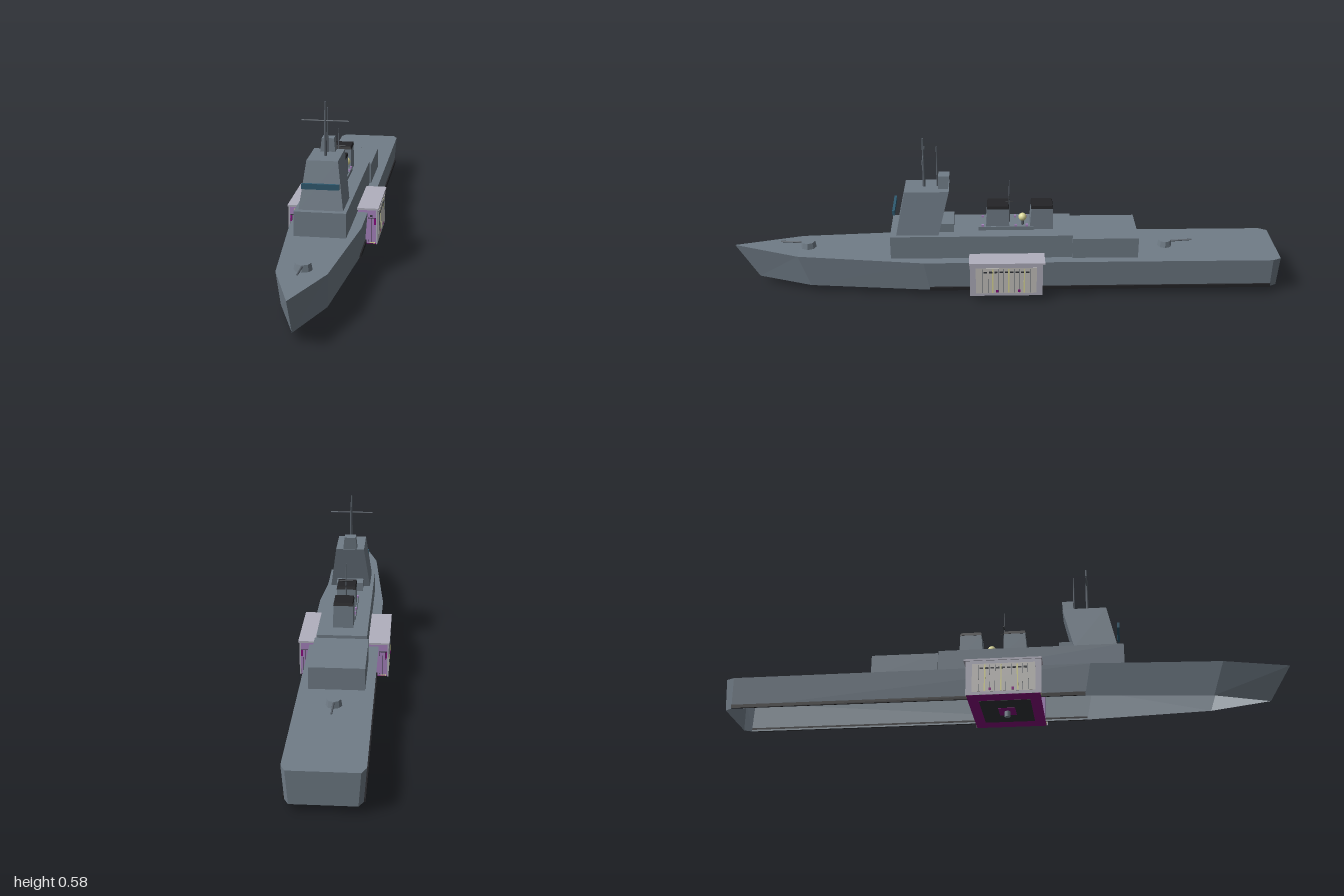
import * as THREE from 'three';

const mat = (name, color, side = THREE.FrontSide) =>
  new THREE.MeshStandardMaterial({ name, color, side });

export function createModel() {
  const ship = new THREE.Group();
  ship.name = 'warship';
  const grey = mat('hull grey', 0x717d88, THREE.DoubleSide);
  const steel = mat('steel grey', 0x5a626b);
  const dark = mat('dark grey', 0x33363b);
  const black = mat('black', 0x242427);
  const glass = mat('window blue', 0x2f5a70);
  const pale = mat('pale grey', 0xb1b0be);
  const panel = mat('panel white', 0xc6c4c0);
  const purple = mat('purple', 0xa884c0);
  const magenta = mat('magenta', 0x8a0880);
  const yellow = mat('yellow', 0xdedb9a);

  const add = (name, geo, material, parent = ship) => {
    const m = new THREE.Mesh(geo, material);
    m.name = name;
    parent.add(m);
    return m;
  };
  // box given by its limits on each axis
  const box = (name, material, [x0, x1], [y0, y1], [z0, z1], parent) => {
    const g = new THREE.BoxGeometry(x1 - x0, y1 - y0, z1 - z0);
    g.translate((x0 + x1) / 2, (y0 + y1) / 2, (z0 + z1) / 2);
    return add(name, g, material, parent);
  };
  // tapered block: lower and upper rectangles as [halfWidth, zBack, zFront]
  const block = (name, material, y0, y1, low, high) => {
    const g = new THREE.BoxGeometry(2, 1, 1);
    const p = g.attributes.position;
    for (let i = 0; i < p.count; i++) {
      const up = p.getY(i) > 0;
      const [w, zb, zf] = up ? high : low;
      p.setXYZ(i, p.getX(i) * w, up ? y1 : y0, p.getZ(i) > 0 ? zf : zb);
    }
    g.computeVertexNormals();
    return add(name, g, material);
  };
  const rod = (name, material, from, to, r0, r1 = r0, sides = 8, parent = ship) => {
    const a = new THREE.Vector3(...from), b = new THREE.Vector3(...to);
    const m = add(name, new THREE.CylinderGeometry(r1, r0, a.distanceTo(b), sides), material, parent);
    m.position.copy(a).add(b).multiplyScalar(0.5);
    m.quaternion.setFromUnitVectors(new THREE.Vector3(0, 1, 0), b.sub(a).normalize());
    return m;
  };

  // Hull: open-bottomed shell through stations [zTop, halfTop, yTop, zBottom, halfBottom]
  const stations = [
    [1, 0, 0.156, 0.92, 0],
    [0.76, 0.08, 0.148, 0.72, 0.073],
    [0.3, 0.125, 0.14, 0.28, 0.116],
    [-0.97, 0.125, 0.138, -0.97, 0.116],
    [-1, 0.11, 0.138, -0.995, 0.102],
  ];
  const pos = [];
  const quad = (a, b, c, d) => pos.push(...a, ...b, ...c, ...a, ...c, ...d);
  const top = (s, k) => [k * s[1], s[2], s[0]];
  const low = (s, k) => [k * s[4], 0.024, s[3]];
  for (let i = 0; i < stations.length - 1; i++) {
    const a = stations[i], b = stations[i + 1];
    quad(low(a, 1), low(b, 1), top(b, 1), top(a, 1));
    quad(low(b, -1), low(a, -1), top(a, -1), top(b, -1));
    quad(top(a, -1), top(a, 1), top(b, 1), top(b, -1));
  }
  const end = stations[stations.length - 1];
  quad(low(end, 1), low(end, -1), top(end, -1), top(end, 1));
  const hull = new THREE.BufferGeometry();
  hull.setAttribute('position', new THREE.Float32BufferAttribute(pos, 3));
  hull.computeVertexNormals();
  add('hull', hull, grey);
  for (const s of [-1, 1]) {
    const x = [s * 0.1165, s * 0.122].sort((a, b) => a - b);
    box('waterlineStrip', black, x, [0.024, 0.037], [-0.97, 0.28]);
  }
  box('holdCeiling', black, [-0.088, 0.088], [0.128, 0.134], [-0.48, -0.13]);

  // Superstructure
  box('mainDeckhouse', grey, [-0.088, 0.088], [0.138, 0.228], [-0.24, 0.42]);
  box('aftDeckhouse', grey, [-0.094, 0.094], [0.136, 0.217], [-0.48, -0.24]);
  block('bridgeTower', grey, 0.228, 0.39, [0.075, 0.245, 0.398], [0.053, 0.205, 0.364]);
  box('bridgeWindow', glass, [-0.063, 0.063], [0.303, 0.322], [0.4, 0.409]);
  block('towerCap', grey, 0.39, 0.437, [0.026, 0.208, 0.245], [0.021, 0.203, 0.243]);
  box('towerRearBox', grey, [-0.05, 0.05], [0.228, 0.26], [0.19, 0.25]);

  // Masts
  rod('mainMast', steel, [0, 0.385, 0.295], [0, 0.576, 0.295], 0.0055, 0.003);
  rod('mainYard', steel, [-0.08, 0.51, 0.295], [0.08, 0.51, 0.295], 0.0025);
  rod('rearMast', steel, [0, 0.385, 0.247], [0, 0.545, 0.247], 0.0035, 0.002);
  rod('aftMast', steel, [0, 0.235, -0.012], [0, 0.41, -0.012], 0.0025, 0.0015);
  rod('aftYard', dark, [-0.025, 0.345, -0.012], [0.025, 0.345, -0.012], 0.0025);
  rod('aftYardFore', dark, [0, 0.325, -0.025], [0, 0.325, 0.002], 0.002);

  // Funnels with dark caps
  box('funnelDeck', grey, [-0.04, 0.04], [0.228, 0.242], [-0.1, 0.1]);
  for (const z of [0.03, -0.13]) {
    block('funnel', grey, 0.228, 0.31, [0.036, z - 0.042, z + 0.044], [0.034, z - 0.04, z + 0.038]);
    block('funnelCap', black, 0.31, 0.321, [0.035, z - 0.041, z + 0.039], [0.033, z - 0.038, z + 0.036]);
  }
  rod('lampPost', steel, [0.022, 0.24, -0.06], [0.022, 0.265, -0.06], 0.005);
  add('signalLamp', new THREE.SphereGeometry(0.015, 12, 8), yellow).position.set(0.022, 0.273, -0.06);
  for (const s of [-1, 1])
    for (const z of [-0.075, -0.035, 0.085])
      box('deckFitting', purple, [s * 0.037 - 0.003, s * 0.037 + 0.003], [0.242, 0.25], [z - 0.004, z + 0.004]);

  // Fore and aft guns
  for (const [z, y, r, dir] of [[0.73, 0.146, 0.03, 1], [-0.59, 0.137, 0.027, -1]]) {
    const gun = new THREE.Group();
    gun.name = dir > 0 ? 'foreGun' : 'aftGun';
    gun.position.set(0, y, z);
    ship.add(gun);
    const g = new THREE.CylinderGeometry(r * 0.85, r, 0.024, 8).toNonIndexed();
    g.computeVertexNormals();
    add('turret', g, grey, gun).position.y = 0.012;
    rod('barrel', steel, [0, 0.017, 0], [0, 0.023, dir * 0.1], 0.004, 0.003, 8, gun);
  }

  // Side housings, built once per side
  for (const s of [-1, 1]) {
    const house = new THREE.Group();
    house.name = s > 0 ? 'leftHousing' : 'rightHousing';
    ship.add(house);
    const part = (name, m, x0, x1, y, z) =>
      box(name, m, s > 0 ? [x0, x1] : [-x1, -x0], y, z, house);
    part('core', purple, 0.09, 0.156, [0.025, 0.15], [-0.128, 0.128]);
    part('outerWall', pale, 0.156, 0.161, [0.023, 0.15], [-0.13, 0.133]);
    part('roof', pale, 0.08, 0.164, [0.15, 0.157], [-0.138, 0.135]);
    part('wallPanel', panel, 0.161, 0.162, [0.034, 0.138], [-0.108, 0.112]);
    // thin wall seams, yellow strips and a row of vents
    for (let i = 0; i < 10; i++) {
      const z = -0.085 + i * 0.019;
      part('wallSeam', i % 3 === 1 ? yellow : steel, 0.162, 0.1625,
        [0.036, 0.134], i % 3 === 1 ? [z, z + 0.005] : [z, z + 0.0015]);
      if (i < 9) part('wallVent', dark, 0.162, 0.163, [0.118, 0.124], [z + 0.004, z + 0.016]);
    }
    for (const z of [-0.05, 0.03]) part('wallMark', magenta, 0.162, 0.163, [0.038, 0.048], [z, z + 0.009]);
    // both ends
    for (const e of [-1, 1]) {
      const zs = d => (e > 0 ? [0.128, 0.128 + d] : [-0.128 - d, -0.128]);
      for (const x of [0.128, 0.138, 0.148])
        part('endSeam', dark, x, x + 0.001, [0.03, 0.118], zs(0.001));
      part('endRail', dark, 0.126, 0.155, [0.118, 0.12], zs(0.002));
      part('endMark', magenta, 0.149, 0.155, [0.095, 0.118], zs(0.003));
      part('endFoot', yellow, 0.132, 0.152, [0.025, 0.029], zs(0.002));
    }
  }
  box('frontSign', yellow, [-0.142, -0.112], [0.13, 0.142], [0.128, 0.131]);
  box('frontLamp', dark, [0.134, 0.143], [0.124, 0.13], [0.128, 0.133]);

  // Underside base and drive shaft
  box('basePlate', magenta, [-0.16, 0.16], [0.0225, 0.025], [-0.128, 0.128]);
  box('basePanel', dark, [-0.105, 0.105], [0.0215, 0.0225], [-0.09, 0.09]);
  box('baseHatch', magenta, [-0.035, 0.035], [0.0205, 0.0215], [-0.03, 0.03]);
  rod('driveShaft', grey, [0, 0, 0], [0, 0.025, 0], 0.01, 0.01, 12);

  return ship;
}
